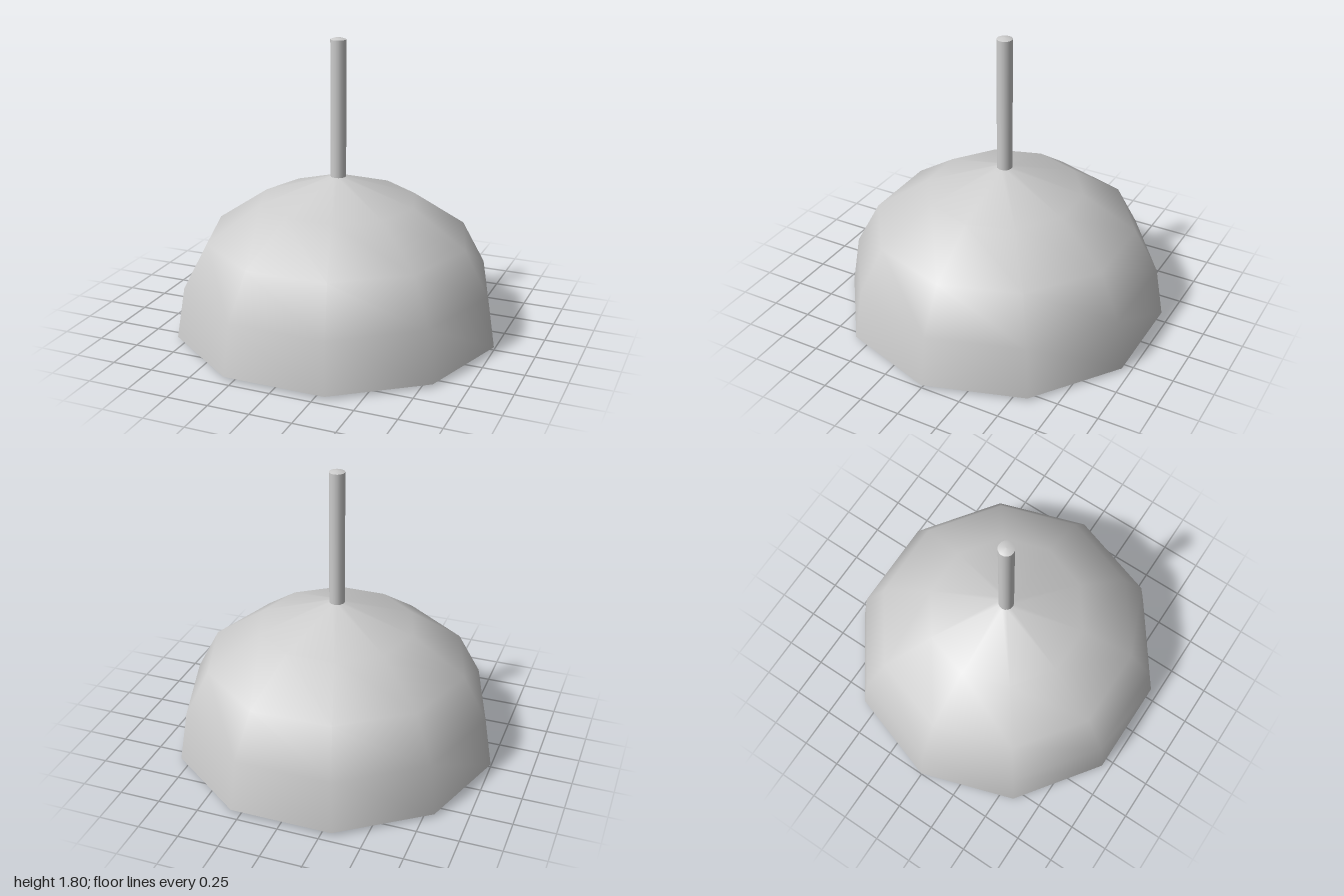
import * as THREE from 'three';

const SIDES = 10;

// Revolve [radius, height] pairs, with a corner pointing along +x.
function revolve(name, profile, sides, flat = false) {
  const points = profile.map(([r, y]) => new THREE.Vector2(r, y));
  const geometry = new THREE.LatheGeometry(points, sides, Math.PI / 2);
  const material = new THREE.MeshStandardMaterial({ color: 0xcccccc, flatShading: flat });
  const mesh = new THREE.Mesh(geometry, material);
  mesh.name = name;
  return mesh;
}

export function createModel() {
  const lamp = new THREE.Group();
  lamp.name = 'pendantLamp';

  // Smooth ten-sided outer dome, bottom to top
  lamp.add(revolve('shadeOuter', [
    [1, 0.018], [0.95, 0.33], [0.805, 0.602], [0.48, 0.822], [0.045, 0.967],
  ], SIDES));

  // Straight tapering lining with a flat ceiling, top to bottom so that it faces inwards
  lamp.add(revolve('shadeLining', [[0, 0.815], [0.48, 0.815], [0.91, 0]], SIDES, true));

  // Slightly sloped lip joining lining and dome
  lamp.add(revolve('shadeRim', [[0.91, 0], [1, 0.018]], SIDES, true));

  // Hanging rod and its shallow rounded cap
  lamp.add(revolve('rod', [[0.047, 0.94], [0.047, 1.795]], 16));
  lamp.add(revolve('rodCap', [[0.047, 1.795], [0.025, 1.803], [0, 1.805]], 16));

  return lamp;
}
